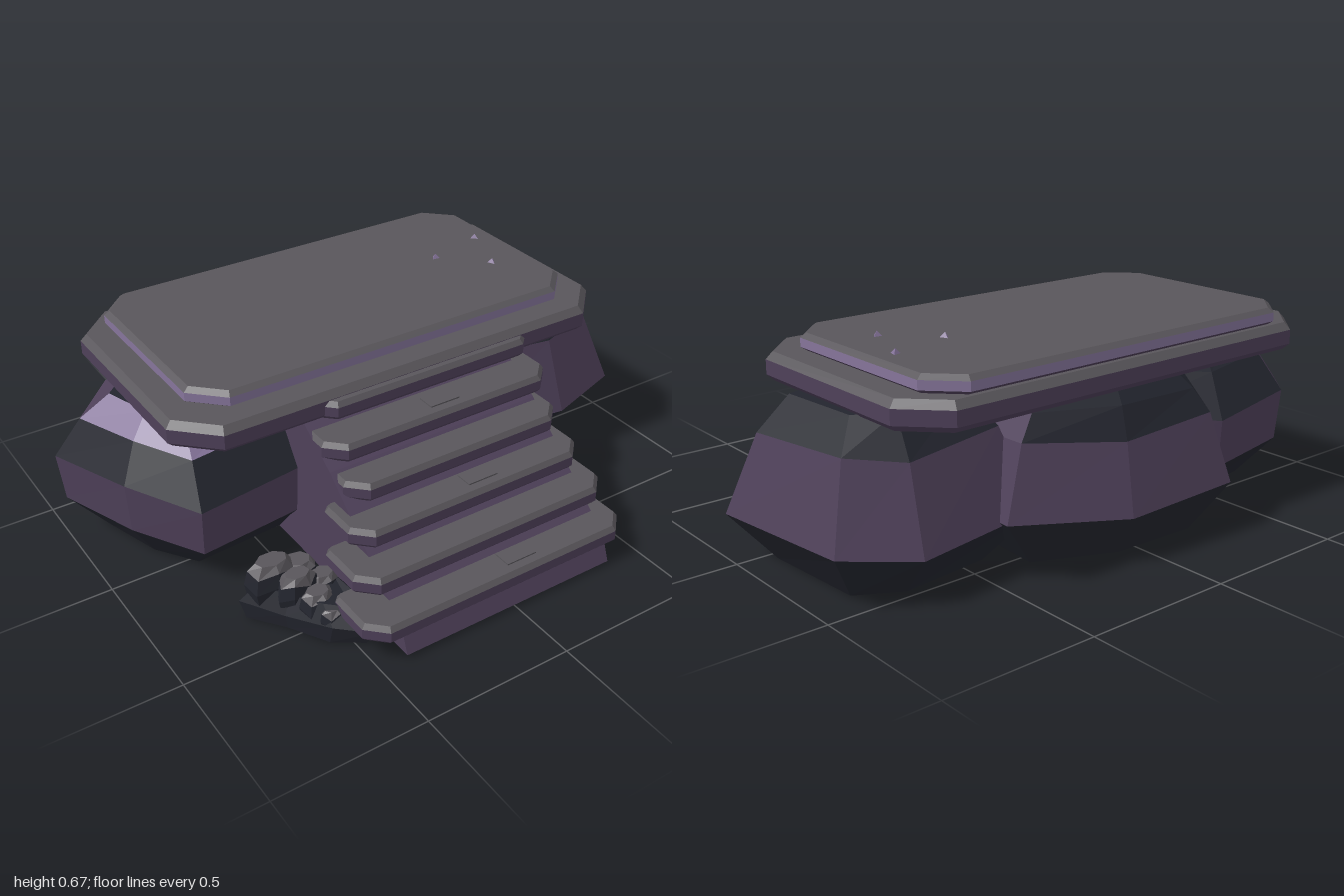
import * as THREE from 'three';

const mat = (name, color) => {
  const m = new THREE.MeshStandardMaterial({ color, flatShading: true });
  m.name = name;
  return m;
};

export function createModel() {
  const root = new THREE.Group();
  const mats = [
    mat('grey stone', 0x59565b),
    mat('purple stone', 0x4e4059),
    mat('lavender stone', 0x85749a),
    mat('dark slate', 0x23252e),
  ];
  const GREY = 0, PURPLE = 1, LAVENDER = 2, SLATE = 3;

  // Skin a stack of rings; colours run bottom cap, bands, top cap.
  // A band's colour may be a list with one entry per side.
  function loft(name, rings, colours, parent = root) {
    const buckets = mats.map(() => []);
    const n = rings[0].length;
    const tri = (m, ...pts) => pts.forEach(p => buckets[m].push(...p));
    rings.forEach((lo, k) => {
      const up = rings[k + 1];
      if (!up) return;
      for (let i = 0; i < n; i++) {
        const j = (i + 1) % n, c = colours[k + 1];
        const m = Array.isArray(c) ? c[i] : c;
        tri(m, lo[i], lo[j], up[j]);
        tri(m, lo[i], up[j], up[i]);
      }
    });
    const first = rings[0], last = rings[rings.length - 1];
    for (let i = 1; i < n - 1; i++) {
      tri(colours[0], first[0], first[i + 1], first[i]);
      tri(colours[colours.length - 1], last[0], last[i], last[i + 1]);
    }
    const geo = new THREE.BufferGeometry();
    let start = 0;
    buckets.forEach((b, m) => {
      if (b.length) geo.addGroup(start, b.length / 3, m);
      start += b.length / 3;
    });
    geo.setAttribute('position', new THREE.Float32BufferAttribute(buckets.flat(), 3));
    geo.computeVertexNormals();
    const mesh = new THREE.Mesh(geo, mats);
    mesh.name = name;
    parent.add(mesh);
  }

  // Octagonal ring: a rectangle with cut corners, front and back cut separately
  function octagon(x0, x1, z0, z1, cut, backCut, inset, y) {
    const a = x0 + inset, b = x1 - inset, c = z0 + inset, d = z1 - inset;
    const f = cut - inset * 0.59, k = backCut - inset * 0.59;
    return [[b, d - f], [b, c + k], [b - k, c], [a + k, c],
      [a, c + k], [a, d - f], [a + f, d], [b - f, d]].map(([x, z]) => [x, y, z]);
  }

  // Cut-cornered slab with bevelled upper and lower edges
  function slab(name, [x0, x1], [z0, z1], [y0, y1], cut, backCut, bevel, side, parent) {
    const h = y1 - y0;
    const ring = (inset, y) => octagon(x0, x1, z0, z1, cut, backCut, inset, y);
    loft(name,
      [ring(bevel, y0), ring(0, y0 + h * 0.22), ring(0, y0 + h * 0.74), ring(bevel, y1)],
      [PURPLE, PURPLE, side, GREY, GREY], parent);
  }

  // Boulder: one plan outline, scaled about a centre at each level [y, scale, tilt]
  function rock(name, [cx, cz], plan, levels, colours, parent) {
    const rings = levels.map(([y, s, tilt = 0]) => plan.map(([x, z], i) =>
      [cx + (x - cx) * s, y + (i % 2 ? tilt : -tilt), cz + (z - cz) * s]));
    loft(name, rings, colours, parent);
  }

  // Platform
  slab('lowerPlatform', [-0.805, 0.815], [-0.67, 0.22], [0.51, 0.6], 0.125, 0.125, 0.02, PURPLE);
  slab('upperPlatform', [-0.712, 0.73], [-0.652, 0.135], [0.6, 0.655], 0.1, 0.1, 0.018, LAVENDER);

  // Steps, from the ground up: x range, z range, underside height
  const stairs = new THREE.Group();
  stairs.name = 'stairs';
  root.add(stairs);
  [
    [[-0.525, 0.455], [0.54, 0.765], 0.077],
    [[-0.49, 0.455], [0.435, 0.662], 0.167],
    [[-0.44, 0.435], [0.35, 0.56], 0.253],
    [[-0.39, 0.425], [0.255, 0.457], 0.34],
    [[-0.4, 0.46], [0.13, 0.354], 0.427],
    [[-0.37, 0.465], [0.02, 0.25], 0.512],
  ].forEach(([xr, zr, y], i) => {
    slab('step', xr, zr, [y, y + 0.063], 0.06, 0.02, 0.012, PURPLE, stairs);
    // Thin inlaid plate on every other step
    if (i % 2 === 0 && i < 5) {
      const plate = new THREE.Mesh(new THREE.BoxGeometry(0.11, 0.008, 0.06), mats[GREY]);
      plate.name = 'stepInlay';
      plate.position.set(0.045, y + 0.0635, zr[1] - 0.07);
      stairs.add(plate);
    }
  });

  // Sloped block carrying the steps
  const profile = new THREE.Shape([[0.755, 0], [0.725, 0.08], [0.635, 0.16], [0.54, 0.24],
    [0.44, 0.325], [0.34, 0.41], [0.19, 0.51], [-0.2, 0.51], [-0.2, 0]]
    .map(([z, y]) => new THREE.Vector2(-z, y)));
  const baseGeo = new THREE.ExtrudeGeometry(profile, { depth: 0.785, bevelEnabled: false });
  baseGeo.rotateY(Math.PI / 2).translate(-0.4, 0, 0);
  const base = new THREE.Mesh(baseGeo, mats[PURPLE]);
  base.name = 'stairBase';
  stairs.add(base);

  // Supporting boulders, running into each other under the platform
  const L = LAVENDER, S = SLATE, P = PURPLE;
  rock('rightBoulder', [0.66, -0.22],
    [[1, 0.05], [0.96, -0.48], [0.75, -0.6], [0.3, -0.55], [0.1, -0.15], [0.25, 0.12], [0.7, 0.15]],
    [[0.001, 0.66], [0.155, 1, 0.01], [0.41, 0.76, 0.012], [0.515, 0.53]],
    [S, S, P, S, S]);
  rock('leftBoulder', [-0.65, -0.2],
    [[-0.1, -0.1], [-0.15, -0.4], [-0.45, -0.6], [-0.8, -0.56], [-1, -0.37], [-0.9, -0.05], [-0.75, 0.17], [-0.2, 0.13]],
    [[0.002, 0.62], [0.14, 0.96, 0.01], [0.31, 1, 0.015], [0.44, 0.76, 0.01], [0.515, 0.5]],
    [S, S, P, [S, S, S, P, S, S, S, S], [S, S, S, P, L, L, L, S], S]);
  rock('backBoulder', [-0.03, -0.4],
    [[0.42, 0.05], [0.46, -0.6], [0.11, -0.755], [-0.3, -0.77], [-0.45, -0.58], [-0.42, 0.05], [0, 0.12]],
    [[0.003, 0.73], [0.16, 1, 0.01], [0.38, 0.84, 0.012], [0.465, 0.72], [0.515, 0.6]],
    [S, S, P, [P, S, S, S, S, S, S], [L, S, S, S, S, S, S], S]);

  // Rubble heap beside the stairs: a low mound running under the first step, with stones on it
  const rubble = new THREE.Group();
  rubble.name = 'rubble';
  root.add(rubble);
  rock('rubbleMound', [-0.56, 0.43],
    [[-0.41, 0.42], [-0.52, 0.31], [-0.65, 0.29], [-0.73, 0.34], [-0.64, 0.46], [-0.56, 0.6], [-0.46, 0.67], [-0.41, 0.62]],
    [[0.001, 0.9], [0.06, 1, 0.008], [0.12, 0.7, 0.006]],
    [S, S, S, S], rubble);
  // Stones: x, z, radius x, radius z, top height, turn
  [
    [-0.625, 0.36, 0.09, 0.06, 0.195, 0.2],
    [-0.54, 0.37, 0.07, 0.06, 0.165, 0.9],
    [-0.58, 0.435, 0.07, 0.05, 0.175, 1.5],
    [-0.495, 0.435, 0.06, 0.05, 0.14, 0.4],
    [-0.55, 0.5, 0.06, 0.05, 0.14, 2.1],
    [-0.54, 0.56, 0.04, 0.04, 0.11, 0.6],
  ].forEach(([x, z, rx, rz, h, turn]) => {
    const plan = Array.from({ length: 7 }, (_, i) => {
      const a = turn + (i / 7) * Math.PI * 2;
      return [x + rx * Math.cos(a), z - rz * Math.sin(a)];
    });
    rock('rubbleStone', [x, z], plan,
      [[0.03, 0.8], [h * 0.6, 1, 0.01], [h * 0.85, 0.87, 0.008], [h, 0.58]],
      [S, S, S, GREY, GREY], rubble);
  });

  // Chips lying on the platform
  [[0.43, -0.28, 0.9], [0.65, -0.34, 0.3], [0.575, -0.14, 2]].forEach(([x, z, turn]) => {
    const chip = new THREE.Mesh(new THREE.ConeGeometry(0.022, 0.022, 3), mats[LAVENDER]);
    chip.name = 'stoneChip';
    chip.position.set(x, 0.66, z);
    chip.rotation.y = turn;
    root.add(chip);
  });

  return root;
}
